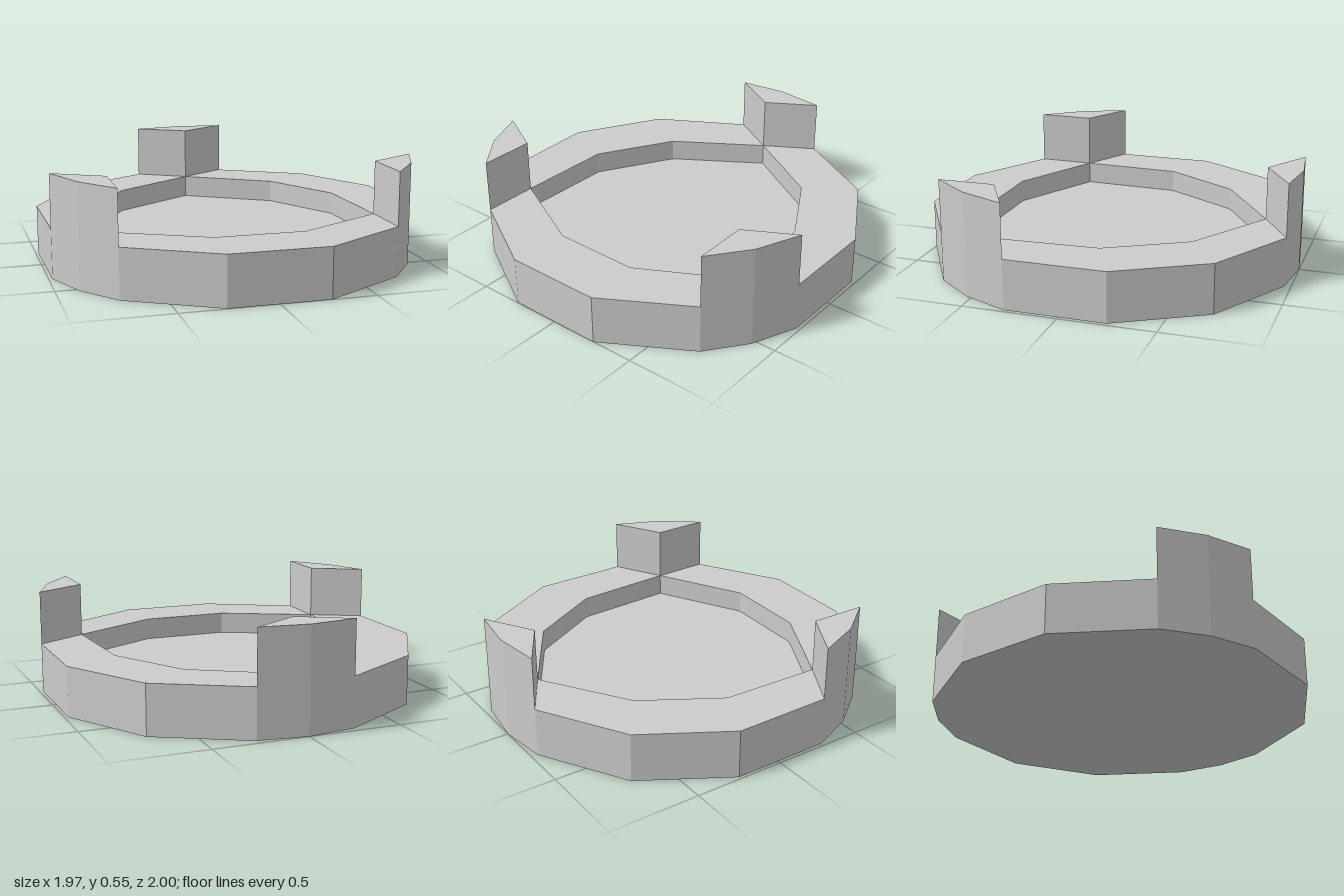
import * as THREE from 'three';
import { mergeGeometries } from 'three/addons/utils/BufferGeometryUtils.js';

const CENTRE_Z = 0.017, FLOOR = 0.145, RIM = 0.265, TOP = 0.55;

// One third of the plan as [x, z] about the centre, clockwise seen from above
const MERLON = [[-0.26, -0.983], [0, -1.017], [0.26, -0.983]];
const OUTER = [[0.26, -0.983], [0.72, -0.722], [0.98, -0.263]];
const INNER = [[0, -0.827], [0.46, -0.542], [0.69, -0.13]];

const turn = (points, i) => {
  const a = i * Math.PI * 2 / 3, c = Math.cos(a), s = Math.sin(a);
  return points.map(([x, z]) => [x * c - z * s, x * s + z * c]);
};

// Flat horizontal face
function cap(points, y, up = true) {
  const shape = new THREE.Shape(points.map(([x, z]) => new THREE.Vector2(x, up ? -z : z)));
  return new THREE.ShapeGeometry(shape).rotateX(up ? -Math.PI / 2 : Math.PI / 2)
    .translate(0, y, 0).toNonIndexed();
}

// Vertical faces along a path; they face outward when the path runs clockwise
function wall(points, y0, y1) {
  const pos = [], uv = [];
  for (let i = 0; i + 1 < points.length; i++) {
    const [ax, az] = points[i], [bx, bz] = points[i + 1];
    pos.push(ax, y0, az, ax, y1, az, bx, y1, bz, ax, y0, az, bx, y1, bz, bx, y0, bz);
    uv.push(0, 0, 0, 1, 1, 1, 0, 0, 1, 1, 1, 0);
  }
  const g = new THREE.BufferGeometry();
  g.setAttribute('position', new THREE.Float32BufferAttribute(pos, 3));
  g.setAttribute('uv', new THREE.Float32BufferAttribute(uv, 2));
  g.computeVertexNormals();
  return g;
}

export function createModel() {
  const group = new THREE.Group();
  const material = new THREE.MeshStandardMaterial({ color: 0xcccccc, flatShading: true });
  const add = (name, parts) => {
    const mesh = new THREE.Mesh(mergeGeometries(parts), material);
    mesh.name = name;
    mesh.position.z = CENTRE_Z;
    group.add(mesh);
  };

  const thirds = [0, 1, 2];
  const outline = thirds.flatMap(i => turn([...MERLON, ...OUTER.slice(1)], i));
  const recess = thirds.flatMap(i => turn(INNER, i));

  // Underside and recessed floor
  add('base', [cap(outline, 0, false)]);
  add('recessFloor', [cap(recess, FLOOR)]);
  add('recessWall', [wall([...recess, recess[0]].reverse(), FLOOR, RIM)]);

  for (const i of thirds) {
    const outer = [...turn(OUTER, i), turn(MERLON, i + 1)[0]];
    const inner = [...turn(INNER, i), turn(INNER, i + 1)[0]];
    const merlon = turn(MERLON, i);

    // Low rim between two raised blocks
    add('rim' + (i + 1), [wall(outer, 0, RIM), cap([...outer, ...inner.reverse()], RIM)]);

    // Raised block: its outer face runs down to the ground
    const apex = turn(INNER, i)[0];
    add('merlon' + (i + 1), [
      wall(merlon, 0, TOP),
      wall([merlon[2], apex, merlon[0]], RIM, TOP),
      cap([...merlon, apex], TOP),
    ]);
  }
  return group;
}
